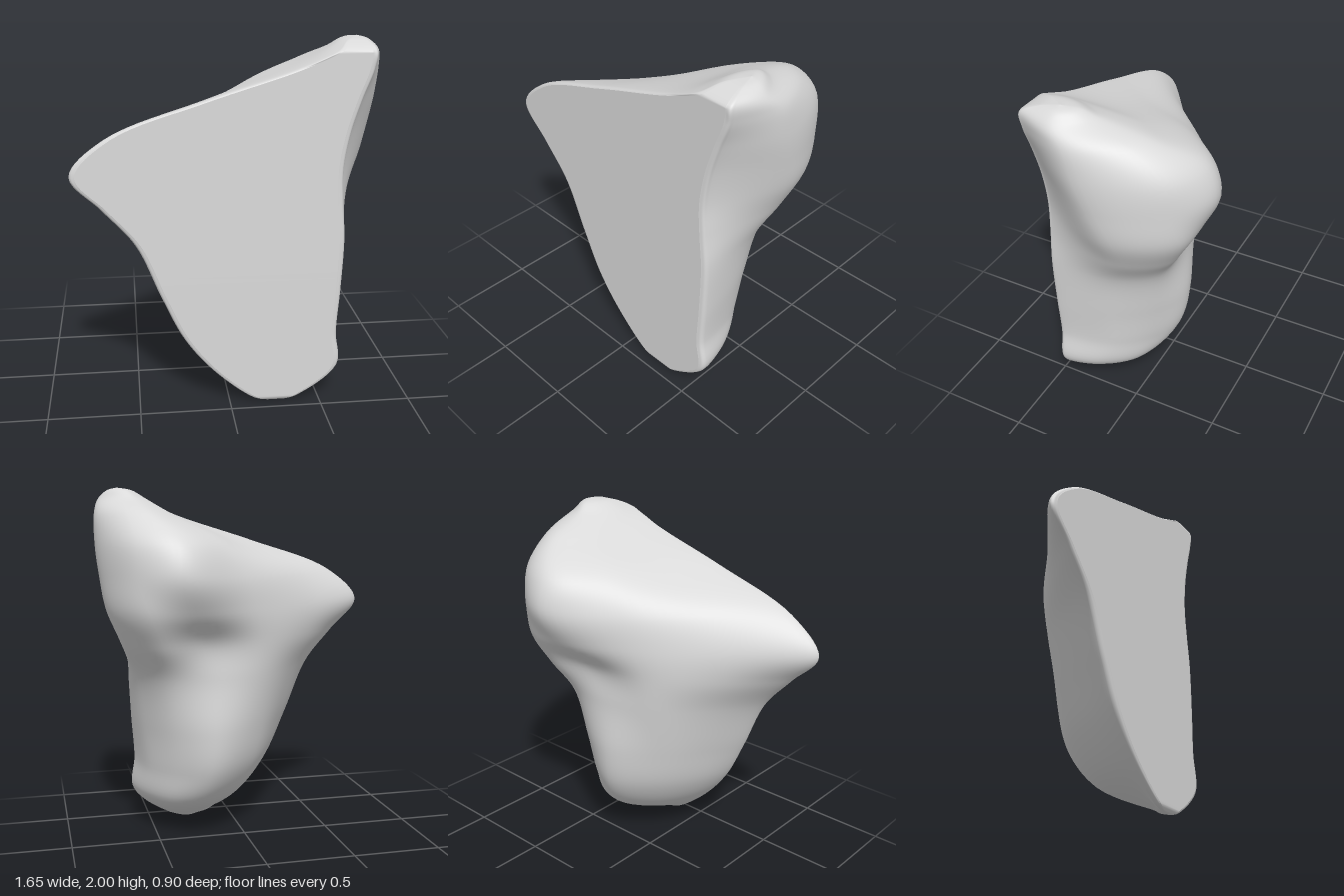
import * as THREE from 'three';

const FRONT = 0.445; // plane of the flat face

// Horizontal slices: y, front left x, five (x, z) points round the back, front right x
const slices = [
  [0.03, 0.12, 0.16, 0.4, 0.2, 0.37, 0.27, 0.34, 0.34, 0.36, 0.38, 0.4, 0.39],
  [0.2, -0.09, -0.05, 0.29, 0.06, 0.12, 0.24, 0, 0.41, 0.04, 0.55, 0.22, 0.6],
  [0.4, -0.25, -0.19, 0.25, -0.04, 0.02, 0.2, -0.14, 0.39, -0.06, 0.54, 0.13, 0.59],
  [0.65, -0.37, -0.27, 0.22, -0.1, -0.02, 0.18, -0.185, 0.42, -0.1, 0.57, 0.12, 0.605],
  [0.95, -0.5, -0.35, 0.18, -0.1, -0.09, 0.19, -0.175, 0.47, -0.15, 0.61, 0.07, 0.615],
  [1.15, -0.67, -0.42, 0.14, -0.08, -0.13, 0.25, -0.2, 0.53, -0.27, 0.695, -0.02, 0.6],
  [1.33, -0.825, -0.46, 0.15, -0.03, -0.18, 0.34, -0.36, 0.61, -0.34, 0.775, -0.01, 0.595],
  [1.52, -0.64, -0.38, 0.18, 0.03, -0.2, 0.4, -0.45, 0.67, -0.31, 0.805, 0.06, 0.625],
  [1.7, -0.15, 0, 0.16, 0.17, -0.18, 0.41, -0.395, 0.67, -0.29, 0.82, 0.12, 0.68],
  [1.85, 0.32, 0.36, 0.2, 0.43, -0.06, 0.55, -0.19, 0.68, -0.13, 0.815, 0.16, 0.735],
  [1.94, 0.53, 0.51, 0.3, 0.54, 0.16, 0.61, 0.07, 0.69, 0.1, 0.78, 0.24, 0.745],
];

// Open ring of control points, with a small rounding at both front edges
function controlRing([y, left, ...rest]) {
  const right = rest.pop();
  const at = (x, z) => new THREE.Vector3(x, y, z);
  const ring = [at(left + 0.028, FRONT), at(left + 0.008, FRONT - 0.007), at(left, FRONT - 0.025)];
  for (let i = 0; i < rest.length; i += 2) ring.push(at(rest[i], rest[i + 1]));
  ring.push(at(right, FRONT - 0.03), at(right - 0.01, FRONT - 0.008), at(right - 0.032, FRONT));
  return ring;
}

// Two rings that round an end ring off to a tip
function endRings(ring, tip) {
  const middle = ring.map((p) => {
    const q = p.clone().lerp(tip, 0.48);
    q.y = p.y + (tip.y - p.y) * 0.75;
    return q;
  });
  return [middle, ring.map(() => tip.clone())];
}

// Point on an upright curve, kept behind the flat face
function pointBehindFace(curve, t) {
  const p = curve.getPoint(t);
  p.z = Math.min(p.z, FRONT);
  return p;
}

// Surface through rows of points
function skin(rows, flip) {
  const n = rows[0].length;
  const index = [];
  for (let i = 0; i < rows.length - 1; i++) {
    for (let j = 0; j < n - 1; j++) {
      const a = i * n + j, b = a + 1, c = a + n, d = c + 1;
      if (flip) index.push(a, b, c, b, d, c);
      else index.push(a, c, b, b, c, d);
    }
  }
  const geometry = new THREE.BufferGeometry().setFromPoints(rows.flat());
  geometry.setIndex(index);
  geometry.computeVertexNormals();
  return geometry;
}

export function createModel() {
  const group = new THREE.Group();
  group.name = 'rock';
  const stone = new THREE.MeshStandardMaterial({ color: 0xdadada });
  stone.name = 'pale grey stone';

  // Smooth the slices upwards from tip to tip, then round each ring
  const sides = slices.map(controlRing);
  const bottom = endRings(sides[0], new THREE.Vector3(0.26, 0, 0.42)).reverse();
  const top = endRings(sides[sides.length - 1], new THREE.Vector3(0.68, 2, 0.24));
  const controls = [...bottom, ...sides, ...top];
  const columns = controls[0].map((_, j) => new THREE.CatmullRomCurve3(controls.map((r) => r[j])));
  const steps = (controls.length - 1) * 8;
  const rings = Array.from({ length: steps + 1 }, (_, i) =>
    new THREE.CatmullRomCurve3(columns.map((c) => pointBehindFace(c, i / steps))).getPoints(80));

  // Rough curved sides and back
  const back = new THREE.Mesh(skin(rings, false), stone);
  back.name = 'roundedBack';

  // Flat cut face
  const face = new THREE.Mesh(skin(rings.map((r) => [r[0], r[r.length - 1]]), true), stone);
  face.name = 'flatFace';

  group.add(back, face);
  return group;
}
